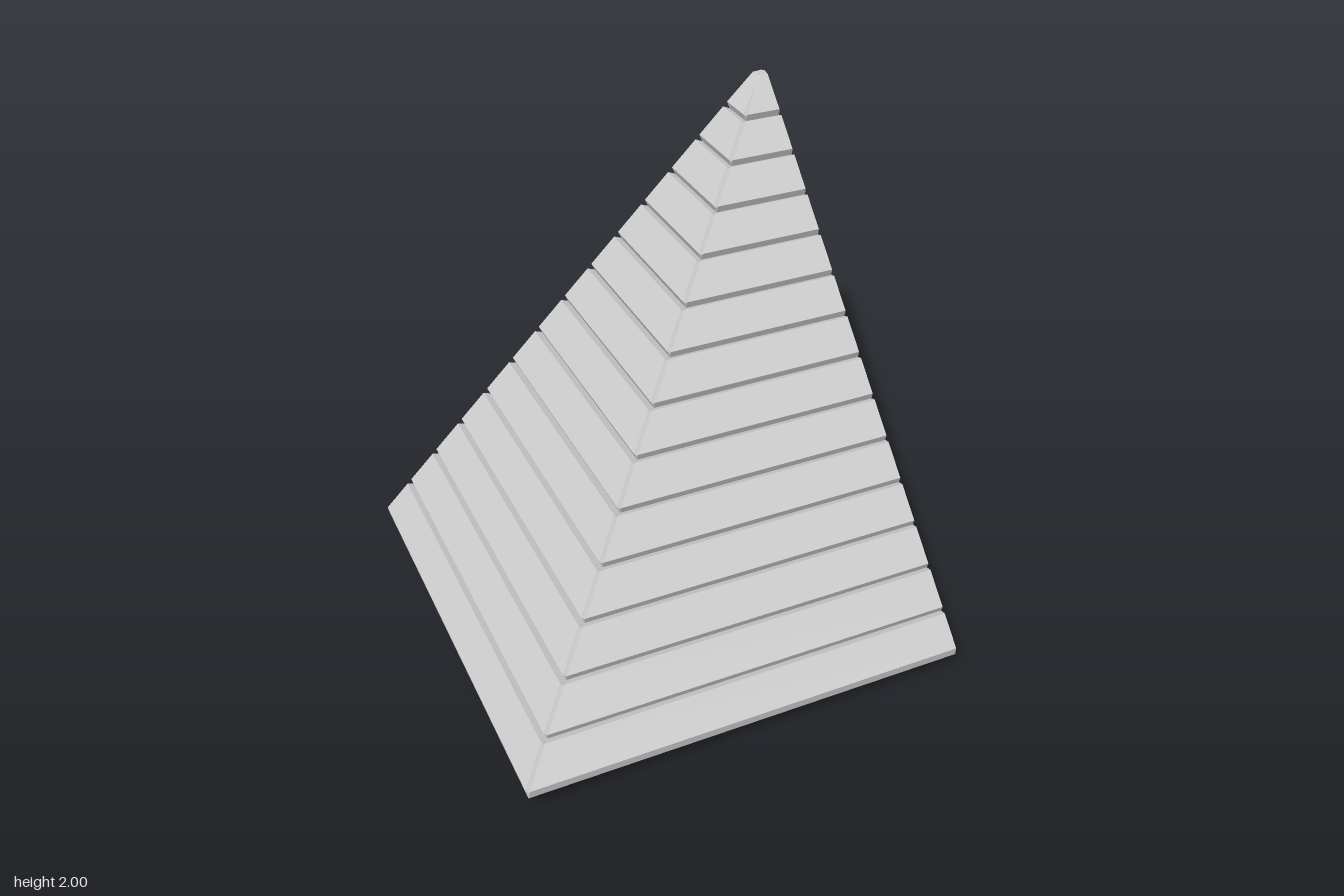
import * as THREE from 'three';
import { ConvexGeometry } from 'three/addons/geometries/ConvexGeometry.js';

const BOARDS = 14;
const PITCH = 0.192;      // board width along the slope
const START = -0.627;     // slope position of the lowest board edge
const THICK = 0.155;      // board thickness
const OUTER = 1.095;      // outer roof plane: y + z = OUTER
const EDGE = 0.968;       // cut edge of the corner piece

// Slope position s and depth v below the outer plane -> height and depth
function toYZ(s, v) {
  const y = (OUTER + Math.SQRT2 * (s - v)) / 2;
  const z = (OUTER - Math.SQRT2 * (s + v)) / 2;
  return [Math.min(y, 2), Math.max(z, -EDGE)];
}

// Bevelled board cross-section; inset values shrink it in depth for the board ends
function section(i, insetOut, insetIn) {
  const a = START + i * PITCH, b = a + PITCH;
  const low = i === 0 ? 0.024 : 0.014;
  const top = i === BOARDS - 1;
  const pts = [
    [a + low, 0], [a, 0.036], [a, THICK - 0.02], [a + 0.01, THICK],
    [b - 0.01, THICK], [b, THICK - 0.02], [b + (top ? 0.032 : 0), 0.036], [b - (top ? 0 : 0.014), 0],
  ];
  return pts.map(([s, v]) => toYZ(s, THREE.MathUtils.clamp(v, insetOut, THICK - insetIn)));
}

// Board running from the mitre on the hip to the straight cut edge
function boardGeometry(i, mirrored) {
  const points = [];
  const add = (x, y, z) => points.push(mirrored ? new THREE.Vector3(-z, y, -x) : new THREE.Vector3(x, y, z));
  for (const [y, z] of section(i, 0, 0)) {
    add(Math.min(-z + 0.014, EDGE - 0.009), y, z);
    add(EDGE - 0.009, y, z);
  }
  for (const [y, z] of section(i, 0.012, 0)) add(Math.min(-z, EDGE), y, z);
  for (const [y, z] of section(i, 0.04, 0.02)) add(EDGE, y, z);
  return new ConvexGeometry(points);
}

export function createModel() {
  const model = new THREE.Group();
  model.name = 'hipRoofCorner';
  const material = new THREE.MeshStandardMaterial({ color: 0xcccccc, flatShading: true });

  // Two planked slopes meeting along the diagonal hip
  for (const mirrored of [false, true]) {
    const slope = new THREE.Group();
    slope.name = mirrored ? 'sideSlope' : 'frontSlope';
    for (let i = 0; i < BOARDS; i++) {
      const board = new THREE.Mesh(boardGeometry(i, mirrored), material);
      board.name = `roofBoard${i + 1}`;
      slope.add(board);
    }
    model.add(slope);
  }
  return model;
}
